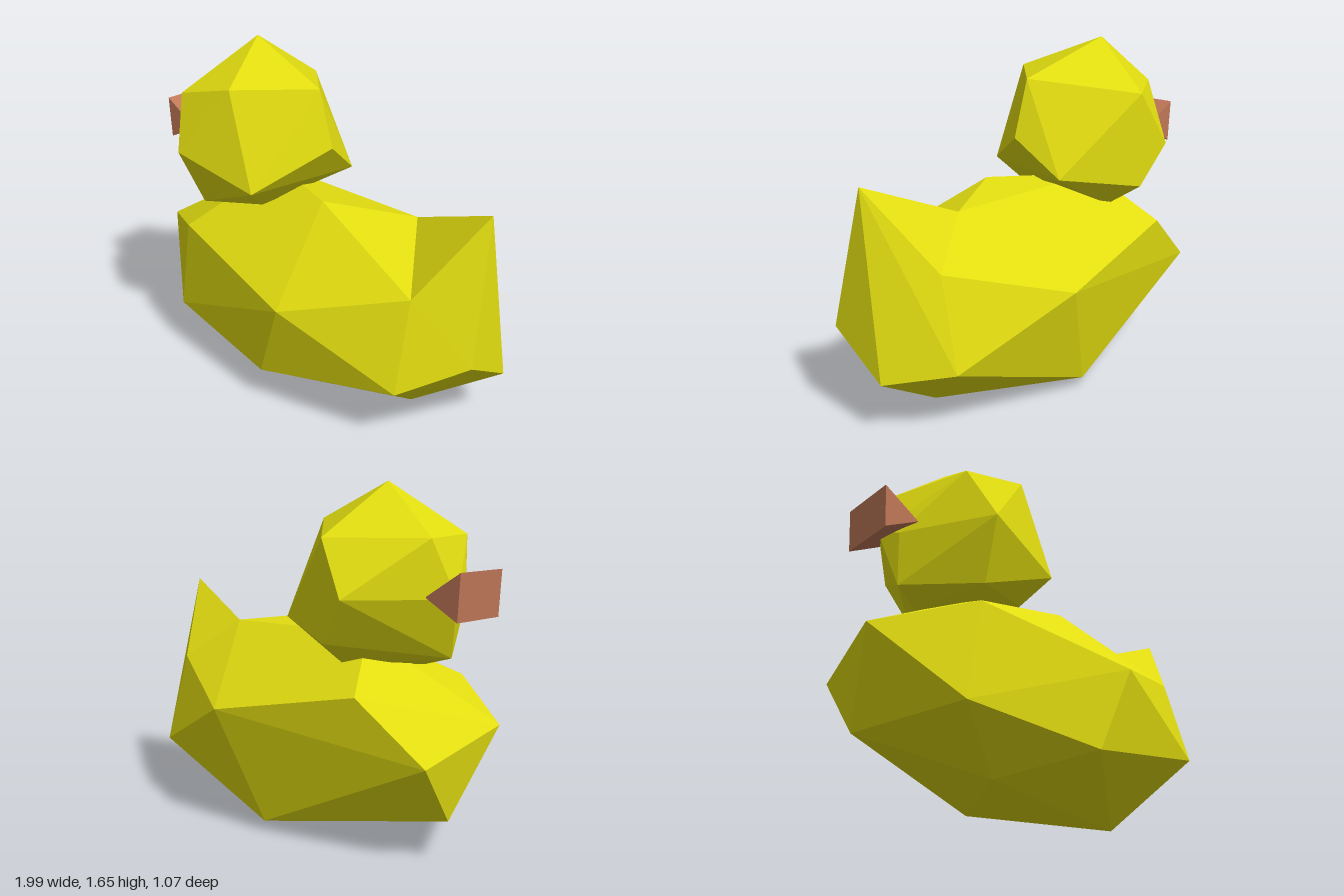
import * as THREE from 'three';
import { ConvexGeometry } from 'three/addons/geometries/ConvexGeometry.js';

const yellow = new THREE.MeshStandardMaterial({ color: 0xe2dd10, flatShading: true });
const brown = new THREE.MeshStandardMaterial({ color: 0xc07858, flatShading: true });

// Faceted solid around a handful of corners
function facetedPart(name, corners, material) {
  const points = corners.map((c) => new THREE.Vector3(...c));
  const mesh = new THREE.Mesh(new ConvexGeometry(points), material);
  mesh.name = name;
  return mesh;
}

// The same corner on both sides of the body
const pair = (x, y, z) => [[x, y, z], [x, y, -z]];

export function createModel() {
  const group = new THREE.Group();
  group.name = 'duck';

  // Corners shared by the rump and the raised tail
  const rump = [
    [0.48, 0.94, -0.1],
    ...pair(0.72, 0.74, 0.267),
    ...pair(0.735, 0.31, 0.383),
    [0.99, 0.45, 0.165],
    [0.975, 0.262, -0.15],
  ];

  // Body
  group.add(facetedPart('body', [
    ...rump,
    [0.1, 0.99, 0.14],
    [-0.42, 0.965, -0.1],
    ...pair(-0.6, 0.735, 0.38),
    ...pair(0.16, 0.585, 0.535),
    [-1, 0.6, 0.12],
    [-0.925, 0.465, -0.295],
    [-0.67, 0.26, 0.39],
    [-0.9, 0.19, -0.1],
    [0, 0.175, 0.485],
    [-0.04, 0.05, -0.4],
    [-0.38, 0.025, 0.21],
    [0.56, 0, 0],
  ], yellow));

  // Tail rising to a point
  group.add(facetedPart('tail', [...rump, [0.94, 1.12, 0]], yellow));

  // Head
  group.add(facetedPart('head', [
    [-0.5, 1.65, -0.06],
    [-0.32, 1.49, 0.32],
    [-0.04, 1.477, 0],
    [-0.42, 1.41, -0.4],
    [-0.655, 1.41, 0.32],
    [-0.8, 1.41, -0.125],
    [0.04, 1.2, 0],
    ...pair(-0.567, 1.155, 0.44),
    [-0.875, 1.15, -0.04],
    [-0.835, 1.12, 0.07],
    [-0.16, 1.017, 0.355],
    [-0.03, 1.02, -0.235],
    [-0.43, 0.95, -0.4],
    [-0.23, 0.9, 0.21],
    [-0.53, 0.87, 0.32],
    [-0.8, 0.88, 0.03],
    [-0.39, 0.83, -0.22],
    [-0.65, 0.835, 0.04],
  ], yellow));

  // Wedge beak, narrow end set into the head
  group.add(facetedPart('beak', [
    ...pair(-0.97, 1.277, 0.147),
    ...pair(-0.957, 1.068, 0.147),
    ...pair(-0.787, 1.162, 0.147),
  ], brown));

  return group;
}
